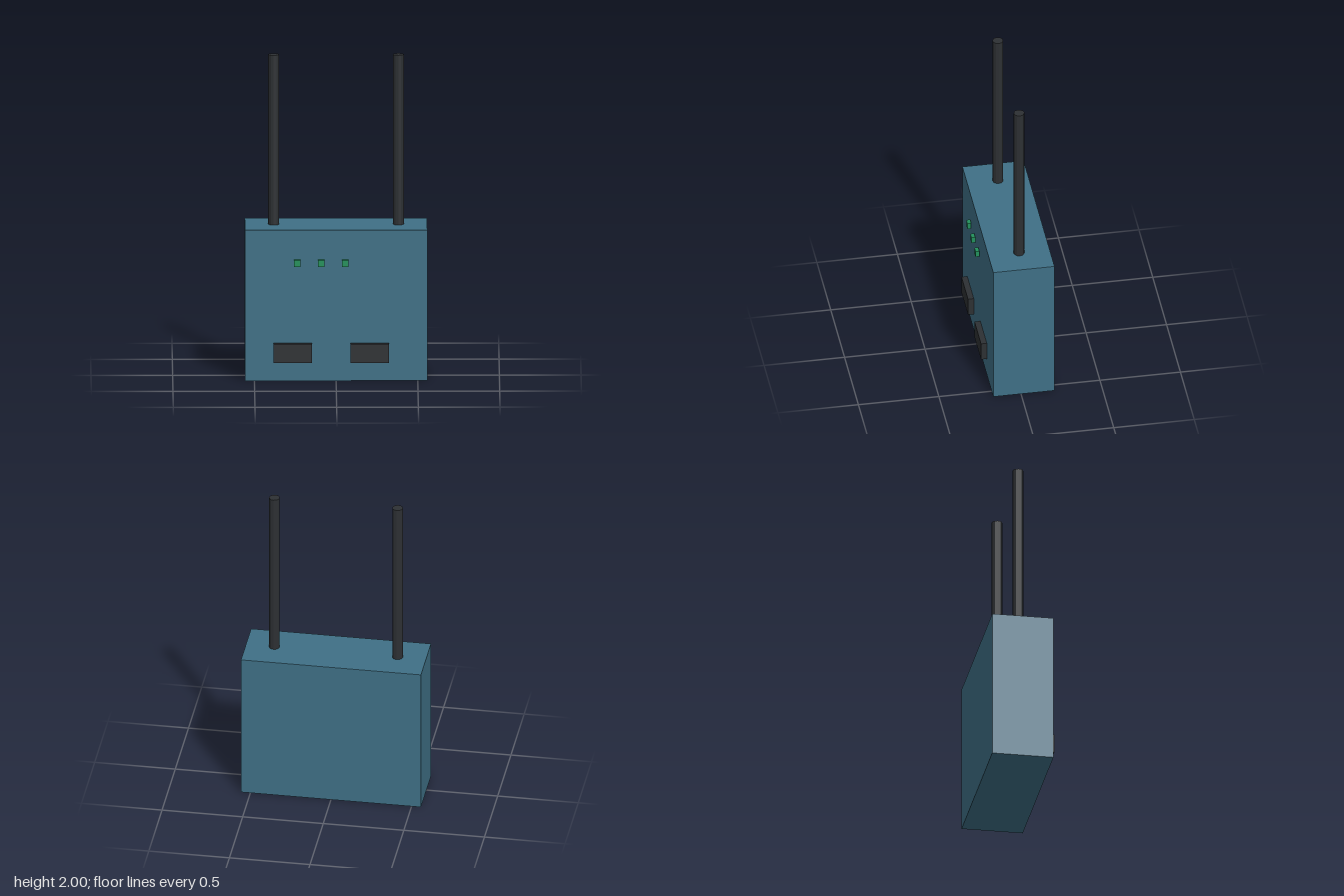
import * as THREE from 'three';

export function createModel() {
  const model = new THREE.Group();
  const shell = new THREE.MeshStandardMaterial({ color: 0x3f7086 });
  const dark = new THREE.MeshStandardMaterial({ color: 0x2d3033, flatShading: true });
  const green = new THREE.MeshStandardMaterial({ color: 0x22915c });

  function add(name, geometry, material, x, y, z) {
    const mesh = new THREE.Mesh(geometry, material);
    mesh.name = name;
    mesh.position.set(x, y, z);
    model.add(mesh);
  }

  // Main housing
  add('housing', new THREE.BoxGeometry(1.116, 0.94, 0.38), shell, 0, 0.47, -0.018);

  // Pair of upright antennas
  const antenna = new THREE.CylinderGeometry(0.033, 0.033, 1.06, 12);
  for (const side of [-1, 1]) {
    add(side > 0 ? 'leftAntenna' : 'rightAntenna', antenna, dark, side * 0.382, 1.47, -0.018);
  }

  // Port blocks low on the front
  const port = new THREE.BoxGeometry(0.235, 0.118, 0.036);
  [-0.265, 0.206].forEach((x, i) => add(`port${i + 1}`, port, dark, x, 0.177, 0.19));

  // Row of indicator lights
  const light = new THREE.BoxGeometry(0.04, 0.04, 0.024);
  for (let i = 0; i < 3; i++) {
    add(`indicatorLight${i + 1}`, light, green, -0.237 + i * 0.147, 0.737, 0.188);
  }

  return model;
}
